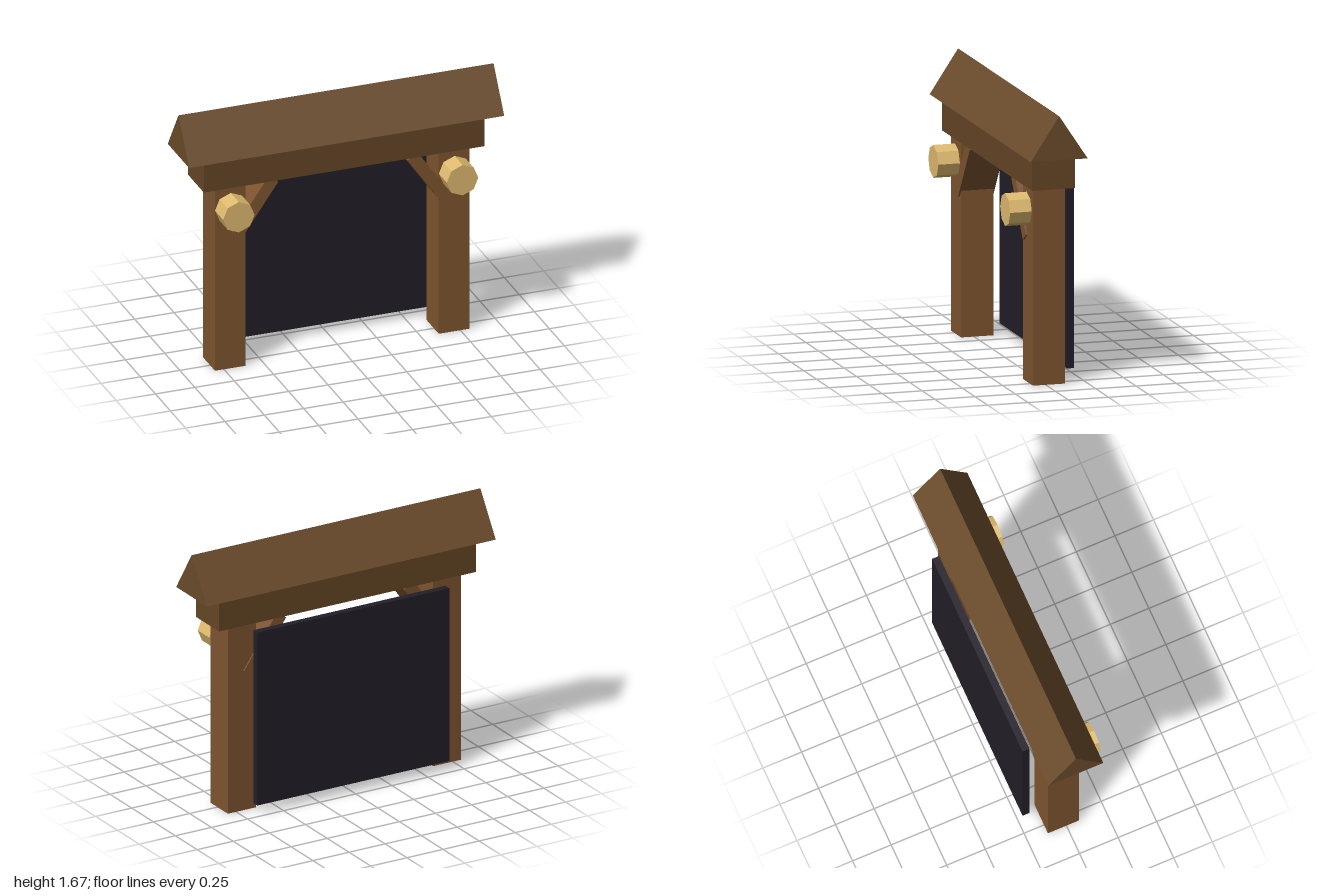
import * as THREE from 'three';

const mat = (color) => new THREE.MeshStandardMaterial({ color, flatShading: true });

export function createModel() {
  const model = new THREE.Group();
  model.name = 'gateway';
  const postWood = mat(0x7f5530);
  const beamWood = mat(0x664626);
  const roofWood = mat(0x6b4c2b);
  const dark = mat(0x231e28);
  const glow = mat(0xe0bb70);

  const add = (name, geometry, material, x, y, z) => {
    const mesh = new THREE.Mesh(geometry, material);
    mesh.name = name;
    mesh.position.set(x, y, z);
    model.add(mesh);
    return mesh;
  };

  // Mirrored posts, diagonal braces and octagonal lamps
  for (const [side, s] of [['left', 1], ['right', -1]]) {
    add(side + 'Post', new THREE.BoxGeometry(0.195, 1.2, 0.2), postWood, s * 0.71, 0.6, -0.02);

    const brace = add(side + 'Brace', new THREE.BoxGeometry(0.077, 0.4, 0.22), postWood, s * 0.556, 1.037, -0.02);
    brace.rotation.z = s * 0.61;

    const lamp = add(side + 'Lamp', new THREE.CylinderGeometry(0.1, 0.1, 0.134, 8), glow, s * 0.71, 1.057, 0.155);
    lamp.rotation.x = Math.PI / 2;
  }

  // Lintel beam across the posts
  add('lintel', new THREE.BoxGeometry(1.78, 0.2, 0.265), beamWood, 0, 1.3, -0.022);

  // Triangular roof, extruded along x
  const gable = new THREE.Shape([
    new THREE.Vector2(-0.177, 0),
    new THREE.Vector2(0.177, 0),
    new THREE.Vector2(0, 0.267),
  ]);
  const roof = new THREE.ExtrudeGeometry(gable, { depth: 2, bevelEnabled: false });
  roof.translate(0, 0, -1).rotateY(Math.PI / 2);
  add('roof', roof, roofWood, 0, 1.4, -0.023);

  // Dark panel behind the opening
  add('backPanel', new THREE.BoxGeometry(1.33, 1.11, 0.045), dark, 0, 0.613, -0.199);

  return model;
}
